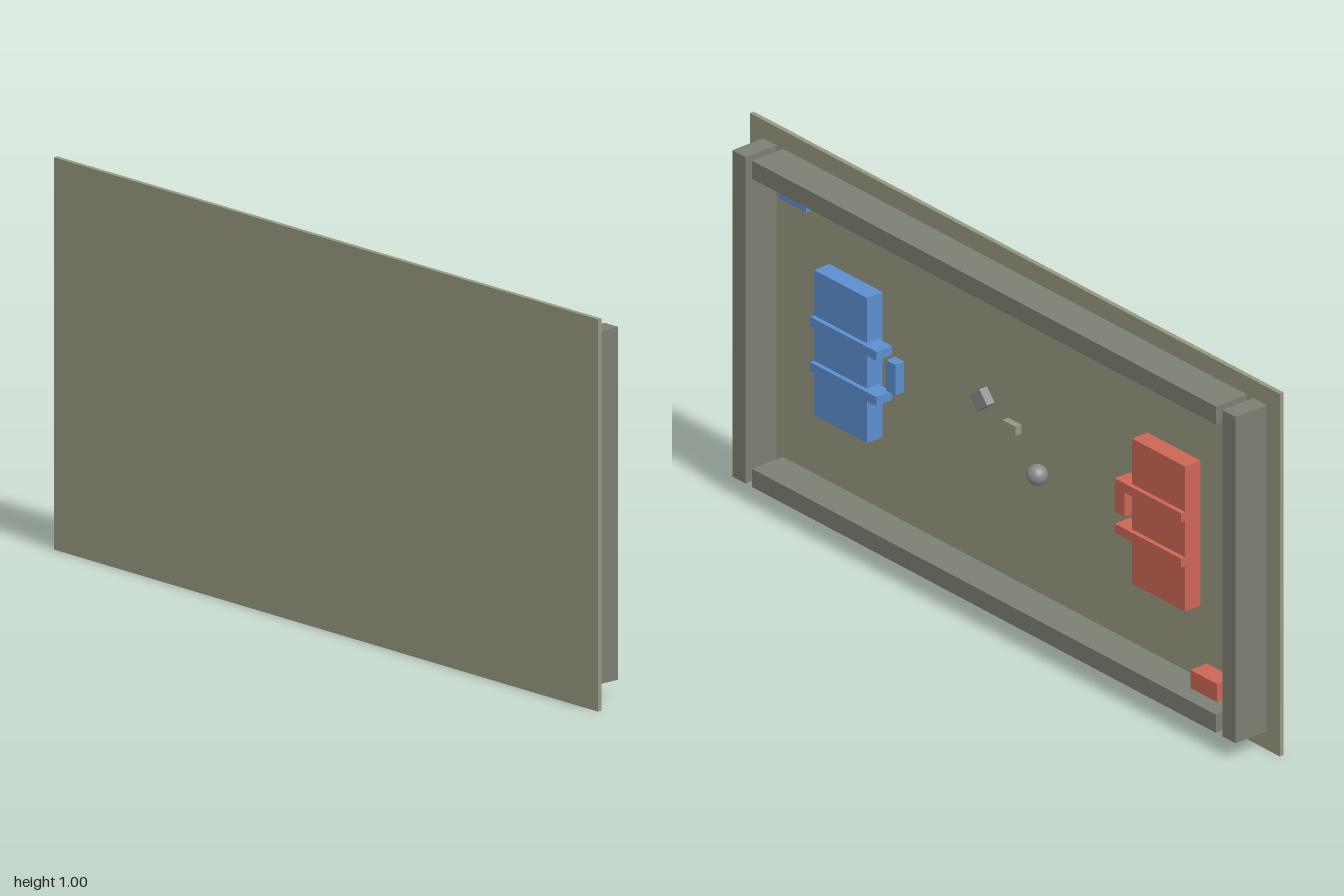
import * as THREE from 'three';

const mat = (color) => new THREE.MeshStandardMaterial({ color });
const olive = mat(0x969880);
const drab = mat(0x7c7f72);
const blue = mat(0x5b8fd0);
const red = mat(0xcc6655);
const grey = mat(0x8a8a8a);

const BACK = 0.04375; // rear face of the panel
const REAR = -0.05625; // rear face of the frame bars

// Box given by its extents on each axis
function box(name, material, [x0, x1], [y0, y1], [z0, z1]) {
  const mesh = new THREE.Mesh(new THREE.BoxGeometry(x1 - x0, y1 - y0, z1 - z0), material);
  mesh.position.set((x0 + x1) / 2, (y0 + y1) / 2, (z0 + z1) / 2);
  mesh.name = name;
  return mesh;
}

// Robot: slab body, two grabbing arms and a clip between their tips
function robot(name, material) {
  const g = new THREE.Group();
  g.name = name;
  g.add(box('body', material, [-0.1, 0.1], [-0.2, 0.2], [-0.00625, BACK]));
  for (const y of [-0.0625, 0.0625]) {
    g.add(box('arm', material, [-0.15, 0.1], [y - 0.0125, y + 0.0125], [-0.01875, 0.03125]));
  }
  g.add(box('clip', material, [-0.185, -0.15], [-0.042, 0.042], [0.0125, 0.041]));
  return g;
}

export function createModel() {
  const model = new THREE.Group();
  model.name = 'field';

  model.add(box('panel', olive, [-1, 1], [0, 1], [BACK, 0.05625]));

  // Frame bars with small gaps at the corners
  for (const x of [-0.925, 0.925]) {
    model.add(box('sideBar', drab, [x - 0.025, x + 0.025], [0.05, 0.95], [REAR, BACK]));
  }
  for (const y of [0.075, 0.925]) {
    model.add(box('longBar', drab, [-0.875, 0.875], [y - 0.025, y + 0.025], [REAR, BACK]));
  }

  // Two robots facing each other
  const blueRobot = robot('blueRobot', blue);
  blueRobot.position.set(0.6, 0.5, 0);
  const redRobot = robot('redRobot', red);
  redRobot.position.set(-0.6, 0.5, 0);
  redRobot.scale.x = -1;
  model.add(blueRobot, redRobot);

  // Corner blocks
  model.add(box('blueBlock', blue, [0.725, 0.825], [0.85, 0.9], [-0.01, BACK]));
  model.add(box('redBlock', red, [-0.825, -0.725], [0.1, 0.15], [-0.01, BACK]));

  // Loose pieces in the middle
  const tile = box('tiltedTile', grey, [0.085, 0.135], [0.5375, 0.5825], [0.019, BACK]);
  tile.rotation.z = -0.7;
  model.add(tile);
  model.add(box('smallBlock', olive, [-0.025, 0.025], [0.5125, 0.5375], [0.025, BACK]));
  const ball = new THREE.Mesh(new THREE.SphereGeometry(0.027, 24, 16), grey);
  ball.position.set(-0.11, 0.44, 0.021);
  ball.name = 'ball';
  model.add(ball);

  return model;
}
